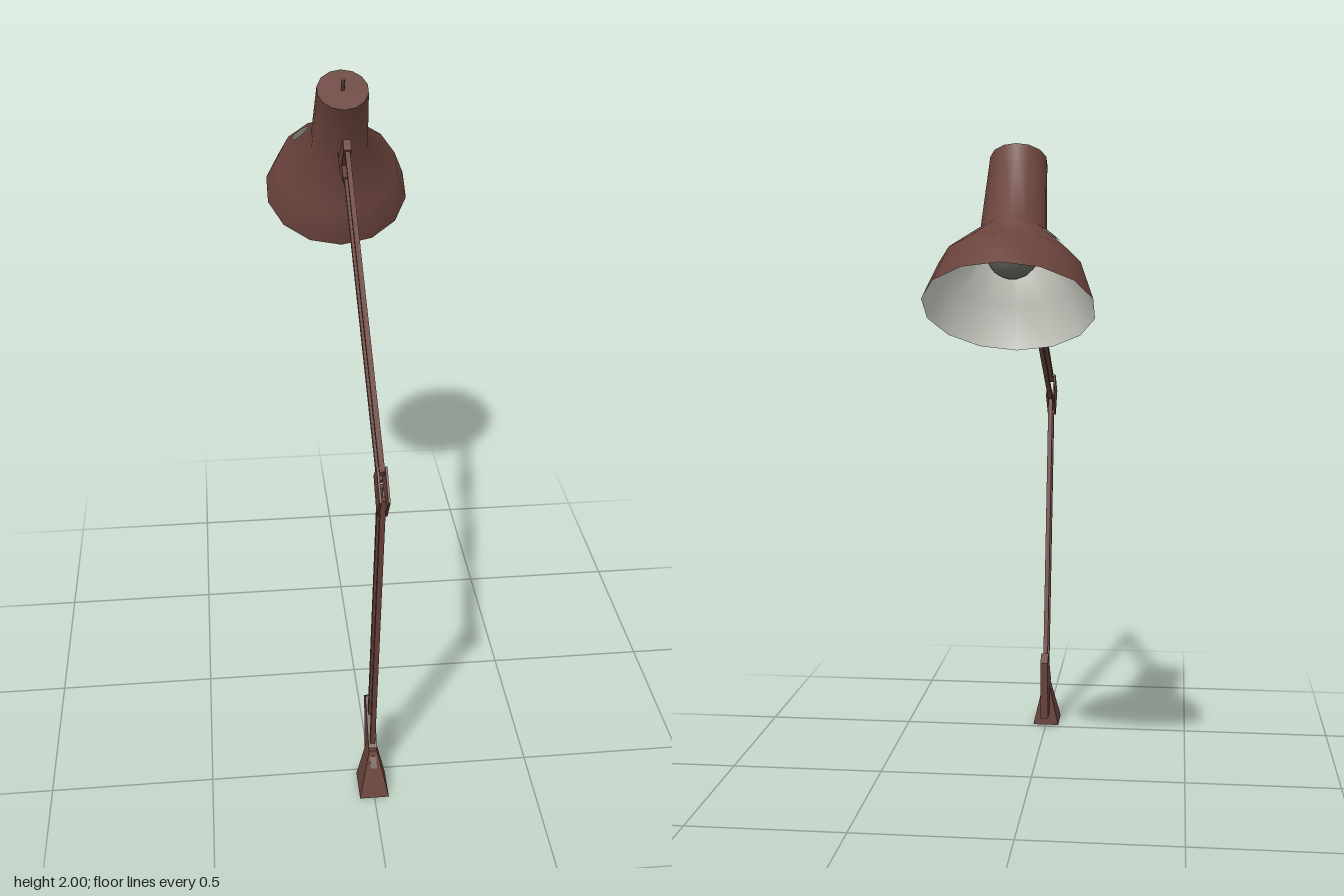
import * as THREE from 'three';

function colour(name, hex) {
  const material = new THREE.MeshStandardMaterial({ color: hex });
  material.name = name;
  return material;
}
const paint = colour('brown paint', 0x69423b);
const enamel = colour('pale enamel', 0xc8c8c0);
const glass = colour('grey glass', 0x686a61);
const worn = colour('worn grey brown', 0x857069);

const SIDES = 14;

function part(parent, name, geometry, material = paint) {
  const mesh = new THREE.Mesh(geometry, material);
  mesh.name = name;
  parent.add(mesh);
  return mesh;
}

// Flat plate from a [z, y] outline, centred on the given x
function plate(parent, name, outline, width, x = 0) {
  const shape = new THREE.Shape(outline.map(([z, y]) => new THREE.Vector2(z, y)));
  const geometry = new THREE.ExtrudeGeometry(shape, { depth: width, bevelEnabled: false });
  geometry.translate(0, 0, -width / 2).rotateY(-Math.PI / 2);
  return part(parent, name, geometry).position.setX(x);
}

// Square rod between two [z, y] points
function rod(parent, name, [z0, y0], [z1, y1]) {
  const length = Math.hypot(z1 - z0, y1 - y0);
  const mesh = part(parent, name, new THREE.BoxGeometry(0.015, length, 0.019));
  mesh.position.set(0, (y0 + y1) / 2, (z0 + z1) / 2);
  mesh.rotation.x = Math.atan2(z1 - z0, y1 - y0);
  // Rubbed line along both flanks
  part(mesh, name + 'Wear', new THREE.BoxGeometry(0.0165, length * 0.9, 0.004), worn);
}

// Tapered foot: a box with its corners drawn in towards the top
function footGeometry() {
  const geometry = new THREE.BoxGeometry(1, 0.15, 1);
  const p = geometry.attributes.position;
  for (let i = 0; i < p.count; i++) {
    const top = p.getY(i) > 0;
    const x = Math.sign(p.getX(i)) * (top ? 0.012 : 0.045);
    const z = p.getZ(i) > 0 ? (top ? 0.582 : 0.632) : (top ? 0.525 : 0.518);
    p.setXYZ(i, x, top ? 0.145 : 0, z);
  }
  geometry.computeVertexNormals();
  return geometry;
}

// Round patch wrapped over the flare of the shade, centred on one of its ridges
function patchGeometry() {
  const geometry = new THREE.CircleGeometry(0.036, 8);
  const p = geometry.attributes.position;
  const ridge = Math.PI + (4 * Math.PI) / SIDES;
  for (let i = 0; i < p.count; i++) {
    const angle = ridge + p.getX(i) / 0.147;
    const radius = 0.151 - 0.677 * p.getY(i);
    p.setXYZ(i, radius * Math.sin(angle), 0.172 + 0.736 * p.getY(i), radius * Math.cos(angle));
  }
  geometry.computeVertexNormals();
  return geometry;
}

function createShade() {
  const shade = new THREE.Group();
  shade.name = 'shade';

  // Outer shell, from rim to top of neck
  const profile = [[0.236, 0], [0.197, 0.118], [0.093, 0.23], [0.081, 0.478]];
  const outer = profile.map(([r, y]) => new THREE.Vector2(r, y));
  part(shade, 'shadeShell', new THREE.LatheGeometry(outer, SIDES));
  const cap = new THREE.CircleGeometry(0.081, SIDES, Math.PI / 2);
  part(shade, 'shadeCap', cap.rotateX(-Math.PI / 2)).position.y = 0.478;

  // Inner lining, closed at the top and meeting the rim
  const inner = profile.map(([r, y], i) => new THREE.Vector2(i ? r - 0.004 : r, i === 3 ? 0.474 : y));
  inner.push(new THREE.Vector2(0, 0.474));
  part(shade, 'shadeLining', new THREE.LatheGeometry(inner.reverse(), SIDES), enamel);

  // Bulb and its socket
  part(shade, 'bulb', new THREE.SphereGeometry(0.073, 16, 12), glass).position.y = 0.175;
  part(shade, 'socket', new THREE.CylinderGeometry(0.035, 0.035, 0.24, 12), glass).position.y = 0.35;

  // Pin on the cap
  part(shade, 'capPin', new THREE.CylinderGeometry(0.006, 0.006, 0.05, 8)).position.y = 0.498;

  // Grey patch on the flare
  part(shade, 'shadePatch', patchGeometry(), glass);

  shade.position.set(0, 1.555, -0.605);
  shade.rotation.x = 0.569;
  return shade;
}

export function createModel() {
  const lamp = new THREE.Group();
  lamp.name = 'deskLamp';

  // Foot and clamp
  part(lamp, 'foot', footGeometry());
  const scuff = part(lamp, 'footScuff', new THREE.BoxGeometry(0.02, 0.04, 0.004), worn);
  scuff.position.set(0, 0.11, 0.594);
  scuff.rotation.x = -0.332;
  plate(lamp, 'clamp', [[0.58, 0.155], [0.479, 0.278], [0.442, 0.252],
    [0.458, 0.043], [0.516, 0.043], [0.52, 0.13]], 0.026);

  // Twin rods of the lower and upper arms
  rod(lamp, 'lowerArmFrontRod', [0.56, 0.155], [0.757, 1.17]);
  rod(lamp, 'lowerArmBackRod', [0.505, 0.23], [0.692, 1.17]);
  rod(lamp, 'upperArmTopRod', [0.735, 1.235], [-0.215, 1.812]);
  rod(lamp, 'upperArmBottomRod', [0.68, 1.178], [-0.245, 1.722]);

  // Elbow: two cheeks with the rod ends between them
  for (const side of [-1, 1]) {
    plate(lamp, side > 0 ? 'elbowLeft' : 'elbowRight',
      [[0.73, 1.254], [0.663, 1.187], [0.743, 1.106], [0.805, 1.187]], 0.006, side * 0.0115);
  }

  // Bracket holding the shade
  plate(lamp, 'shadeBracket', [[-0.222, 1.84], [-0.19, 1.818], [-0.267, 1.744], [-0.212, 1.724],
    [-0.222, 1.702], [-0.336, 1.704], [-0.385, 1.735], [-0.38, 1.752], [-0.345, 1.747]], 0.024);

  lamp.add(createShade());
  return lamp;
}
